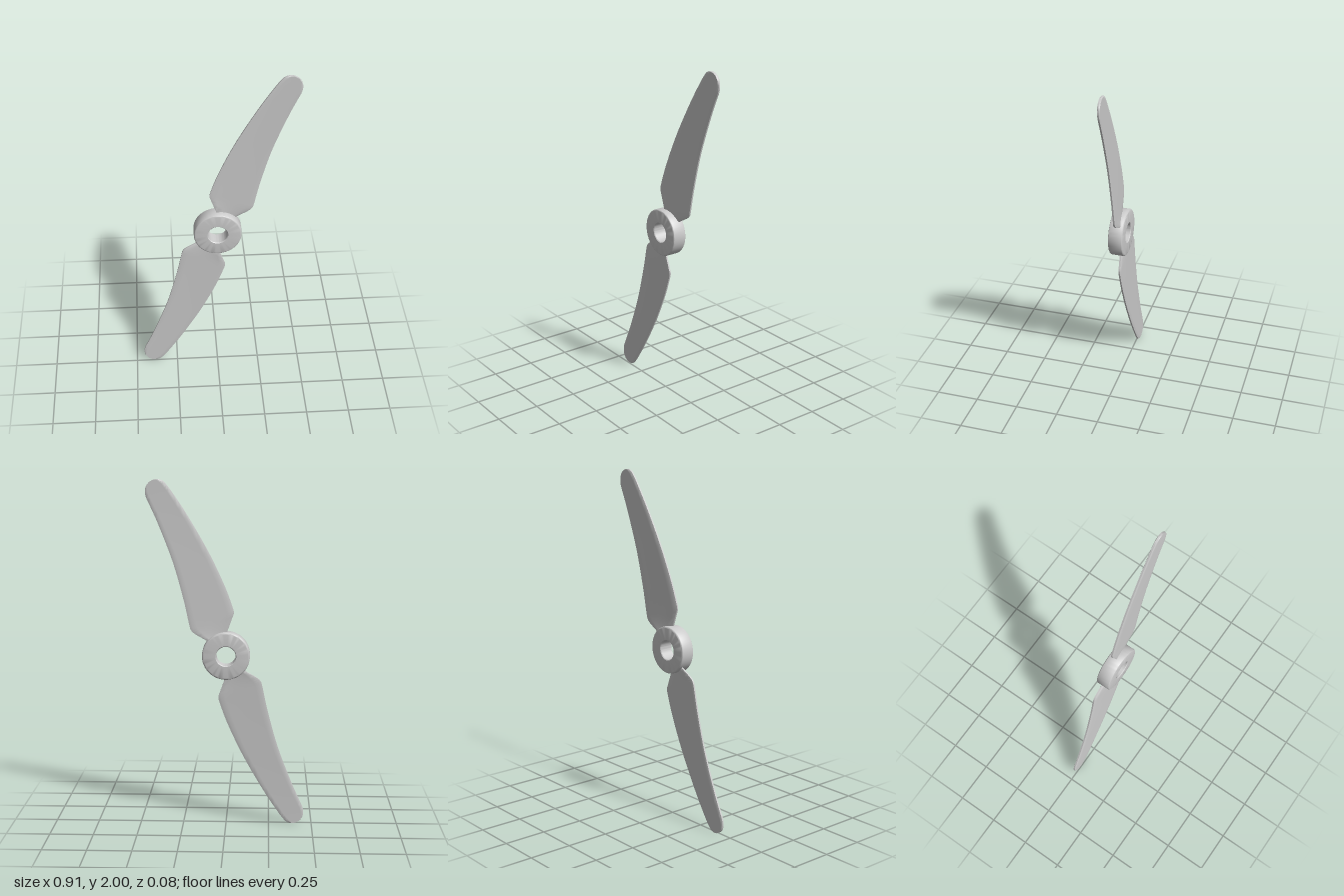
import * as THREE from 'three';
import { toCreasedNormals } from 'three/addons/utils/BufferGeometryUtils.js';

const material = new THREE.MeshStandardMaterial({ color: 0xcccccc });
const edge = (pts) => new THREE.SplineCurve(pts.map(([x, y]) => new THREE.Vector2(x, y)));

// Blade edges measured from the hub centre; matching points form one chord
const leftEdge = edge([
  [0.01, 0.09], [-0.008, 0.14], [-0.035, 0.215], [-0.044, 0.245], [-0.035, 0.285], [0.012, 0.41],
  [0.1, 0.595], [0.213, 0.792], [0.3, 0.925], [0.338, 0.975], [0.36, 0.994], [0.385, 1.0], [0.408, 0.996]]);
const rightEdge = edge([
  [0.07, 0.06], [0.118, 0.092], [0.175, 0.125], [0.198, 0.146], [0.209, 0.178], [0.24, 0.32],
  [0.298, 0.53], [0.375, 0.735], [0.423, 0.845], [0.446, 0.895], [0.453, 0.93], [0.447, 0.96], [0.43, 0.983]]);

// Thin twisted blade lofted from rounded-edge plate sections
function bladeGeometry() {
  const stations = 72;
  const across = [0, 0.02, 0.06, 0.15, 0.3, 0.5, 0.7, 0.85, 0.94, 0.98, 1];
  const n = across.length * 2;
  const pos = [], index = [];
  for (let j = 0; j <= stations; j++) {
    const L = leftEdge.getPoint(j / stations), R = rightEdge.getPoint(j / stations);
    const span = Math.min(1, (L.y + R.y) / 2);
    const zL = THREE.MathUtils.lerp(0.002, -0.0105, span);
    const zR = THREE.MathUtils.lerp(-0.019, -0.0105, span);
    const addPoint = (u, side) => {
      const half = 0.0045 + 0.003 * Math.min(1, Math.min(u, 1 - u) / 0.06);
      pos.push(L.x + (R.x - L.x) * u, L.y + (R.y - L.y) * u, zL + (zR - zL) * u + side * half);
    };
    across.forEach((u) => addPoint(u, 1));
    across.forEach((u) => addPoint(1 - u, -1));
  }
  for (let j = 0; j < stations; j++) {
    for (let i = 0; i < n; i++) {
      const a = j * n + i, b = j * n + (i + 1) % n;
      index.push(a, b, b + n, a, b + n, a + n);
    }
  }
  // Tip cap
  const end = stations * n;
  for (let i = 1; i < n - 1; i++) index.push(end, end + i, end + i + 1);
  const g = new THREE.BufferGeometry();
  g.setAttribute('position', new THREE.Float32BufferAttribute(pos, 3));
  g.setIndex(index);
  return toCreasedNormals(g, 0.6);
}

// Ring hub with rounded outer rims and lightly chamfered bore
function hubGeometry() {
  const R = 0.137, r = 0.056, zb = -0.043, zf = 0.041, f = 0.01, c = 0.004;
  const profile = [[r, zb + c], [r + c, zb]];
  for (let i = 0; i <= 4; i++) {
    const a = (i / 4) * Math.PI / 2;
    profile.push([R - f + f * Math.sin(a), zb + f - f * Math.cos(a)]);
  }
  for (let i = 0; i <= 4; i++) {
    const a = (i / 4) * Math.PI / 2;
    profile.push([R - f + f * Math.cos(a), zf - f + f * Math.sin(a)]);
  }
  profile.push([r + c, zf], [r, zf - c], [r, zb + c]);
  const g = new THREE.LatheGeometry(profile.map(([x, y]) => new THREE.Vector2(x, y)), 64);
  g.rotateX(Math.PI / 2);
  return toCreasedNormals(g, 0.6);
}

export function createModel() {
  const model = new THREE.Group();
  model.name = 'propeller';

  const hub = new THREE.Mesh(hubGeometry(), material);
  hub.name = 'hub';
  hub.position.y = 1;
  model.add(hub);

  // Two identical blades half a turn apart
  const geometry = bladeGeometry();
  ['upperBlade', 'lowerBlade'].forEach((name, i) => {
    const blade = new THREE.Mesh(geometry, material);
    blade.name = name;
    blade.position.y = 1;
    blade.rotation.z = i * Math.PI;
    model.add(blade);
  });
  return model;
}
